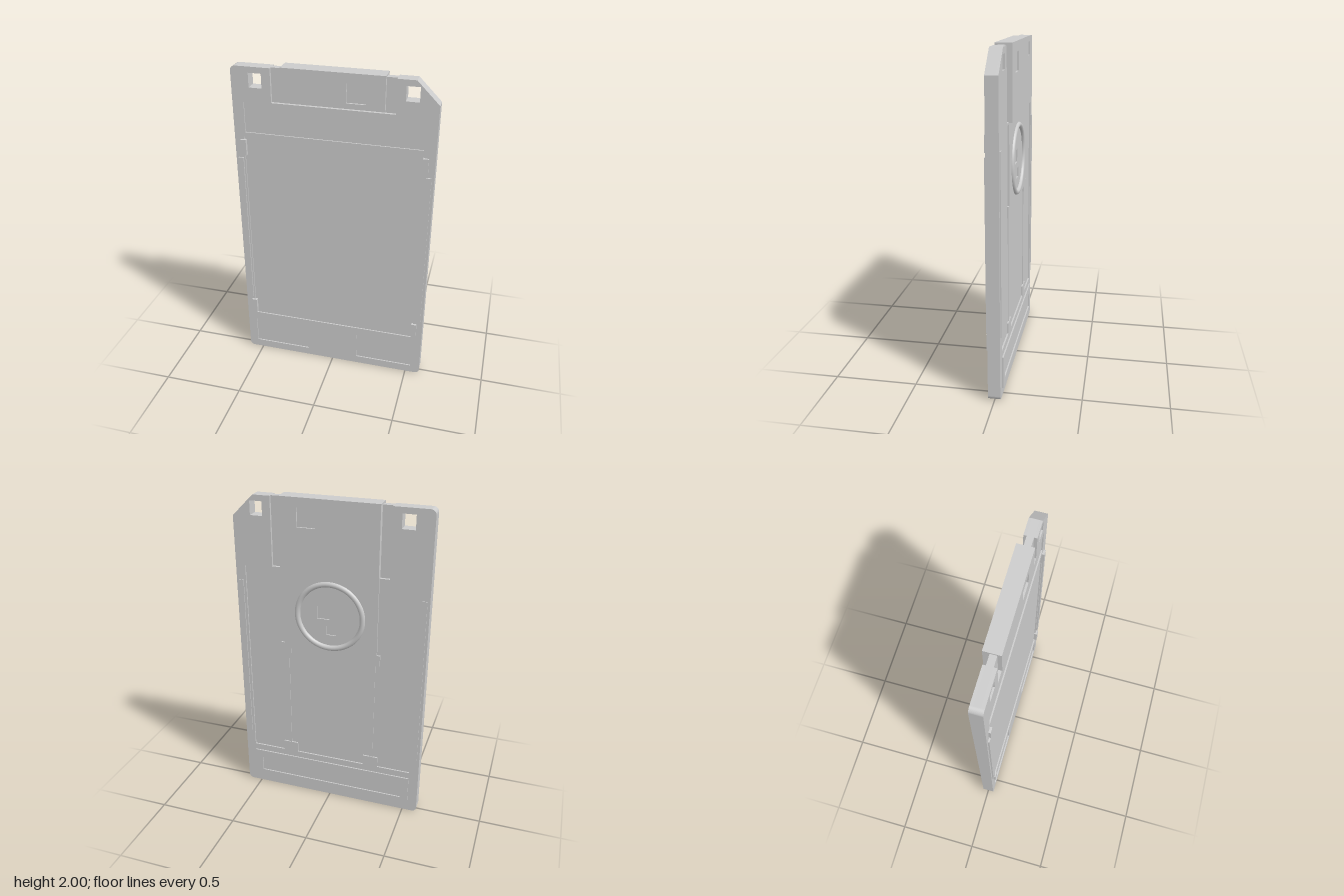
import * as THREE from 'three';

const material = new THREE.MeshStandardMaterial({ color: 0xcccccc, roughness: 0.7 });
const W = 0.592, TOP = 1.99, R = 0.03, CUT = 0.13, NOTCH = 0.357;

// Rectangles are written [x0, x1, y0, y1]
function trace(path, [x0, x1, y0, y1]) {
  path.moveTo(x0, y0);
  path.lineTo(x1, y0);
  path.lineTo(x1, y1);
  path.lineTo(x0, y1);
  path.closePath();
  return path;
}

// Cartridge outline: rounded corners, one clipped corner, optional shutter notch
function outline(notchY) {
  const s = new THREE.Shape();
  s.moveTo(-W + R, 0);
  s.lineTo(W - R, 0);
  s.absarc(W - R, R, R, -Math.PI / 2, 0, false);
  s.lineTo(W, TOP - CUT);
  s.lineTo(W - CUT, TOP);
  if (notchY) {
    s.lineTo(NOTCH, TOP);
    s.lineTo(NOTCH, notchY);
    s.lineTo(-NOTCH, notchY);
    s.lineTo(-NOTCH, TOP);
  }
  s.lineTo(-W + R, TOP);
  s.absarc(-W + R, TOP - R, R, Math.PI / 2, Math.PI, false);
  s.lineTo(-W, R);
  s.absarc(-W + R, R, R, Math.PI, Math.PI * 1.5, false);
  return s;
}

export function createModel() {
  const model = new THREE.Group();
  model.name = 'diskCartridge';

  const add = (name, geometry) => {
    const mesh = new THREE.Mesh(geometry, material);
    mesh.name = name;
    model.add(mesh);
    return mesh;
  };

  // Flat slice of a shape between two depths, with rectangular holes
  const slice = (name, shape, z0, z1, holes = []) => {
    holes.forEach((h) => shape.holes.push(trace(new THREE.Path(), h)));
    const g = new THREE.ExtrudeGeometry(shape, { depth: z1 - z0, bevelEnabled: false, curveSegments: 8 });
    return add(name, g.translate(0, 0, z0));
  };
  const plate = (name, rect, z0, z1, holes) => slice(name, trace(new THREE.Shape(), rect), z0, z1, holes);
  const pair = (name, [x0, x1, y0, y1], z0, z1) => {
    plate(name + 'Left', [x0, x1, y0, y1], z0, z1);
    plate(name + 'Right', [-x1, -x0, y0, y1], z0, z1);
  };

  // Shell: core, then notched layers and recessed skins on both faces
  const locators = [[-0.487, -0.41, 1.87, 1.955], [0.407, 0.483, 1.87, 1.955]];
  const labels = [
    [-0.525, 0.522, 1.597, 1.783],
    [-0.535, 0.532, 0.29, 1.568],
    [-0.535, -0.168, 0.052, 0.232],
    [0.165, 0.532, 0.052, 0.232],
  ];
  slice('shellCore', outline(), -0.018, 0.02, locators);
  slice('frontLayer', outline(1.79), 0.02, 0.03, locators);
  slice('frontSkin', outline(1.79), 0.03, 0.038, [...locators, ...labels]);
  slice('backLayer', outline(1.575), -0.026, -0.018, locators);
  slice('backSkin', outline(1.575), -0.035, -0.026, [...locators, [-0.532, 0.532, 0.292, 1.56]]);

  // Sliding shutter wrapping over the top edge, with a window each side
  const windowRect = [0.08, 0.19, 1.83, 1.942];
  plate('shutterFront', [-0.297, 0.297, 1.8, 2], 0.03, 0.042, [windowRect]);
  plate('shutterMiddle', [-0.297, 0.297, 1.8, 2], -0.044, 0.03);
  plate('shutterLowerBack', [-0.297, 0.297, 1.57, 1.8], -0.055, -0.018);
  plate('shutterUpperBack', [-0.297, 0.297, 1.8, 2], -0.055, -0.044, [windowRect]);

  // Raised grips and clips on the front
  pair('frontGrip', [0.545, 0.577, 0.422, 1.435], 0.036, 0.047);
  pair('upperClip', [0.522, 0.555, 1.455, 1.552], 0.028, 0.051);
  pair('lowerClip', [0.522, 0.555, 0.3, 0.4], 0.028, 0.051);

  // Grips on the back
  pair('backGrip', [0.547, 0.577, 0.4, 1.47], -0.041, -0.033);

  // Hub slide with two feet
  const HUB_Y = 1.3;
  const slide = new THREE.Shape();
  [[-0.295, 1.575], [-0.295, 1.09], [-0.315, 1.09], [-0.315, 1.02], [-0.25, 1.02], [-0.25, 1.055],
    [0.25, 1.055], [0.25, 1.02], [0.315, 1.02], [0.315, 1.09], [0.295, 1.09], [0.295, 1.575],
  ].forEach(([x, y], i) => (i ? slide.lineTo(x, y) : slide.moveTo(x, y)));
  slide.closePath();
  const bore = new THREE.Path();
  bore.absarc(0, HUB_Y, 0.2, 0, Math.PI * 2, true);
  slide.holes.push(bore);
  slice('hubSlide', slide, -0.037, -0.024).geometry.computeVertexNormals();

  // Hub ring and disc with drive slots
  const ring = add('hubRing', new THREE.TorusGeometry(0.203, 0.017, 12, 64));
  ring.position.set(0, HUB_Y, -0.035);
  const disc = new THREE.Shape();
  disc.absarc(0, HUB_Y, 0.2, 0, Math.PI * 2, false);
  slice('hubDisc', disc, -0.034, -0.024, [[0, 0.08, 1.28, 1.36], [-0.04, 0.02, 1.18, 1.24]]);

  // Rails and end clips below the slide
  pair('slideRail', [0.267, 0.287, 0.35, 1.055], -0.031, -0.024);
  pair('railClip', [0.225, 0.32, 0.292, 0.36], -0.035, -0.024);

  // Raised lower panel on the back with a long recess
  plate('lowerBackPanel', [-0.532, 0.532, 0.05, 0.25], -0.043, -0.034, [[-0.48, 0.48, 0.095, 0.195]]);

  return model;
}
